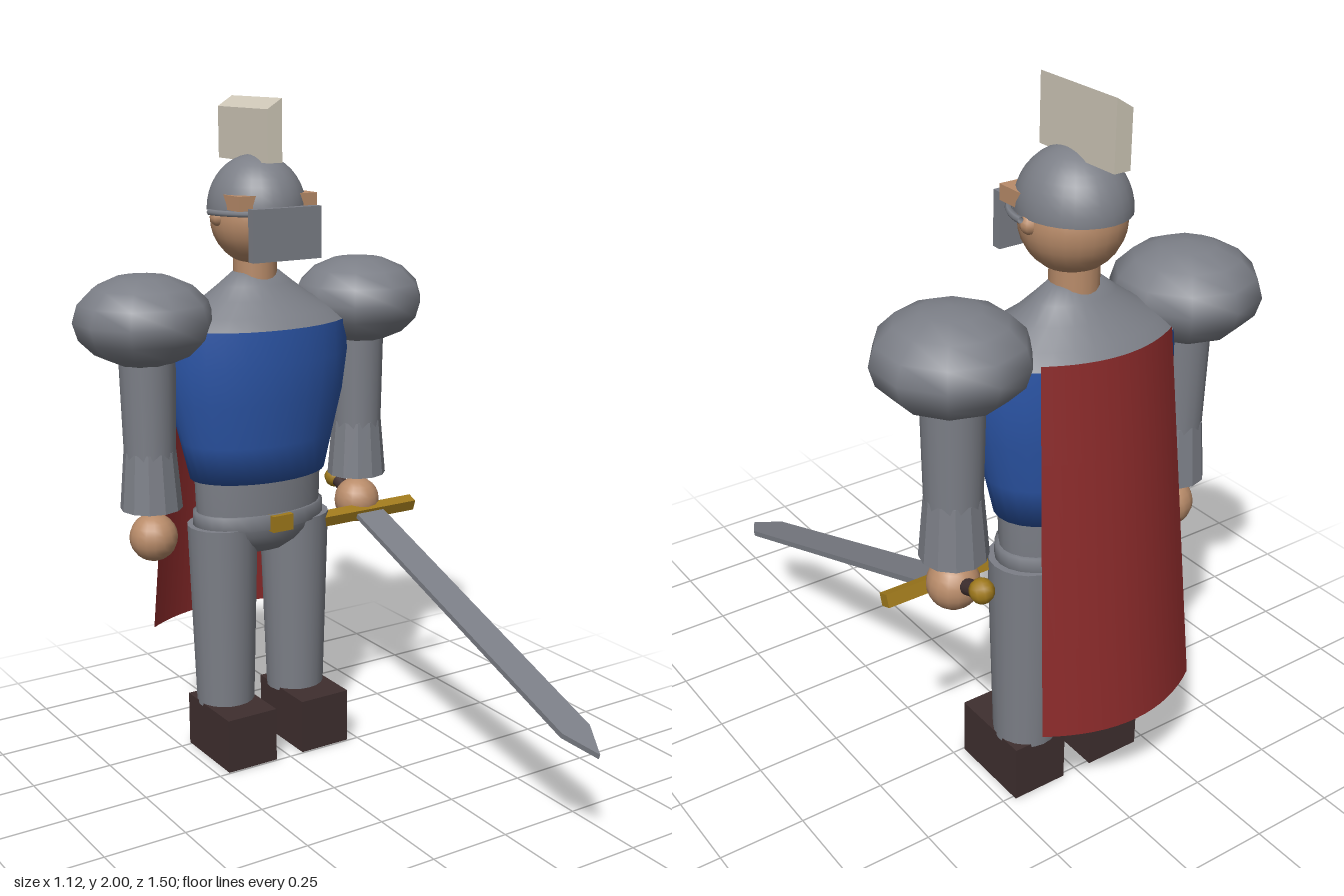
import * as THREE from 'three';

const mat = (name, color, side = THREE.FrontSide) => {
  const m = new THREE.MeshStandardMaterial({ color, side });
  m.name = name;
  return m;
};

export function createModel() {
  const steel = mat('steel', 0x7c7f87, THREE.DoubleSide);
  const blue = mat('blue cloth', 0x2c56a8);
  const red = mat('red cloth', 0x8a2a2a, THREE.DoubleSide);
  const skin = mat('skin', 0xb98c6a);
  const leather = mat('dark leather', 0x3f2f2f);
  const gold = mat('gold', 0xa07a1c);
  const bone = mat('pale crest', 0xcfc8b8);

  const model = new THREE.Group();
  const Z = -0.43; // depth of the body axis
  const add = (name, geo, material, x = 0, y = 0, z = 0, parent = model) => {
    const m = new THREE.Mesh(geo, material);
    m.name = name;
    m.position.set(x, y, z);
    parent.add(m);
    return m;
  };
  const box = (w, h, d) => new THREE.BoxGeometry(w, h, d);
  const lathe = (name, pts, material, depth) =>
    add(name, new THREE.LatheGeometry(pts.map(p => new THREE.Vector2(...p)), 28), material, 0, 0, Z)
      .scale.set(1, 1, depth);

  // Torso, from hips to collar
  lathe('pelvis', [[0, 0.645], [0.1, 0.647], [0.16, 0.68], [0.19, 0.71], [0.2, 0.74]], steel, 0.64);
  lathe('waist', [[0.2, 0.73], [0.207, 0.8], [0.21, 0.89]], steel, 0.6);
  lathe('belt', [[0.2, 0.735], [0.217, 0.735], [0.217, 0.78], [0.2, 0.78]], steel, 0.62);
  lathe('tunic', [[0, 0.885], [0.222, 0.885], [0.25, 1.0], [0.283, 1.13], [0.3, 1.25], [0.297, 1.352]], blue, 0.65);
  lathe('gorget', [[0.297, 1.35], [0.25, 1.385], [0.175, 1.425], [0.12, 1.465], [0.075, 1.5], [0, 1.505]], steel, 0.65);
  add('buckle', box(0.07, 0.05, 0.08), gold, 0, 0.755, -0.32);

  // Limbs, mirrored
  for (const s of [1, -1]) {
    const side = s > 0 ? 'left' : 'right';
    add(side + 'Leg', new THREE.CylinderGeometry(0.108, 0.09, 0.58, 20), steel, s * 0.127, 0.45, Z);
    add(side + 'Boot', box(0.168, 0.17, 0.256), leather, s * 0.131, 0.085, -0.383);
    add(side + 'Arm', new THREE.CylinderGeometry(0.085, 0.075, 0.45, 18), steel, s * 0.363, 1.16, Z);
    const cuff = new THREE.CylinderGeometry(0.077, 0.092, 0.175, 12).toNonIndexed();
    cuff.computeVertexNormals();
    add(side + 'Cuff', cuff, steel, s * 0.363, 0.915, Z);
    add(side + 'Hand', new THREE.SphereGeometry(0.072, 16, 12), skin, s * 0.362, 0.737, -0.425);
    const pad = add(side + 'ShoulderPad', new THREE.SphereGeometry(0.204, 10, 8), steel, s * 0.368, 1.386, -0.433);
    pad.scale.y = 0.66;
    pad.rotation.y = Math.PI / 2;
    add(side + 'Ear', new THREE.SphereGeometry(0.026, 10, 8), skin, s * 0.128, 1.665, -0.415);
  }

  // Head and helmet
  add('neck', new THREE.CylinderGeometry(0.065, 0.065, 0.12, 18), skin, 0, 1.52, Z);
  add('head', new THREE.SphereGeometry(0.137, 24, 16), skin, 0, 1.657, -0.417);
  add('brow', box(0.262, 0.042, 0.125), skin, 0, 1.712, -0.355);
  const dome = new THREE.SphereGeometry(1, 28, 10, 0, Math.PI * 2, 0, Math.PI / 2);
  add('helmetDome', dome, steel, 0, 1.682, -0.417).scale.set(0.143, 0.16, 0.157);
  const brim = add('helmetBrim', new THREE.TorusGeometry(0.157, 0.009, 6, 24, Math.PI), steel, 0, 1.682, -0.417);
  brim.rotation.x = Math.PI / 2;
  add('visor', box(0.226, 0.15, 0.028), steel, 0, 1.625, -0.256);

  // Crest with a slanted top edge
  const crest = box(0.048, 0.18, 0.287);
  const cp = crest.attributes.position;
  for (let i = 0; i < cp.count; i++) {
    if (cp.getY(i) > 0 && cp.getX(i) < 0) cp.setY(i, 0.06);
  }
  crest.computeVertexNormals();
  add('crest', crest, bone, 0, 1.91, -0.452);

  // Cape: a sheet bowed backwards, wider and further out at the hem
  const sheet = new THREE.PlaneGeometry(2, 1, 16, 4);
  const p = sheet.attributes.position;
  for (let i = 0; i < p.count; i++) {
    const u = p.getX(i), t = 0.5 - p.getY(i);
    p.setXYZ(i,
      u * THREE.MathUtils.lerp(0.205, 0.25, t),
      THREE.MathUtils.lerp(1.37, 0.345, t),
      THREE.MathUtils.lerp(-0.632, -0.752, t) + THREE.MathUtils.lerp(0.06, 0.08, t) * u * u);
  }
  sheet.computeVertexNormals();
  add('cape', sheet, red);

  // Sword, built along +z from the hand and tilted down
  const sword = new THREE.Group();
  sword.name = 'sword';
  sword.position.set(0.362, 0.735, -0.425);
  sword.rotation.x = 0.349;
  model.add(sword);
  const outline = new THREE.Shape([[-0.05, 0.06], [0.05, 0.06], [0.05, 1.14], [0, 1.245], [-0.05, 1.14]]
    .map(q => new THREE.Vector2(...q)));
  const blade = new THREE.ExtrudeGeometry(outline, { depth: 0.016, bevelEnabled: false });
  add('blade', blade, steel, 0, 0.008, 0, sword).rotation.x = Math.PI / 2;
  add('guard', box(0.346, 0.036, 0.036), gold, 0, 0, 0.063, sword);
  const grip = add('grip', new THREE.CylinderGeometry(0.022, 0.022, 0.2, 12), leather, 0, 0, -0.04, sword);
  grip.rotation.x = Math.PI / 2;
  add('pommel', new THREE.SphereGeometry(0.034, 10, 8), gold, 0, 0, -0.137, sword);

  return model;
}
